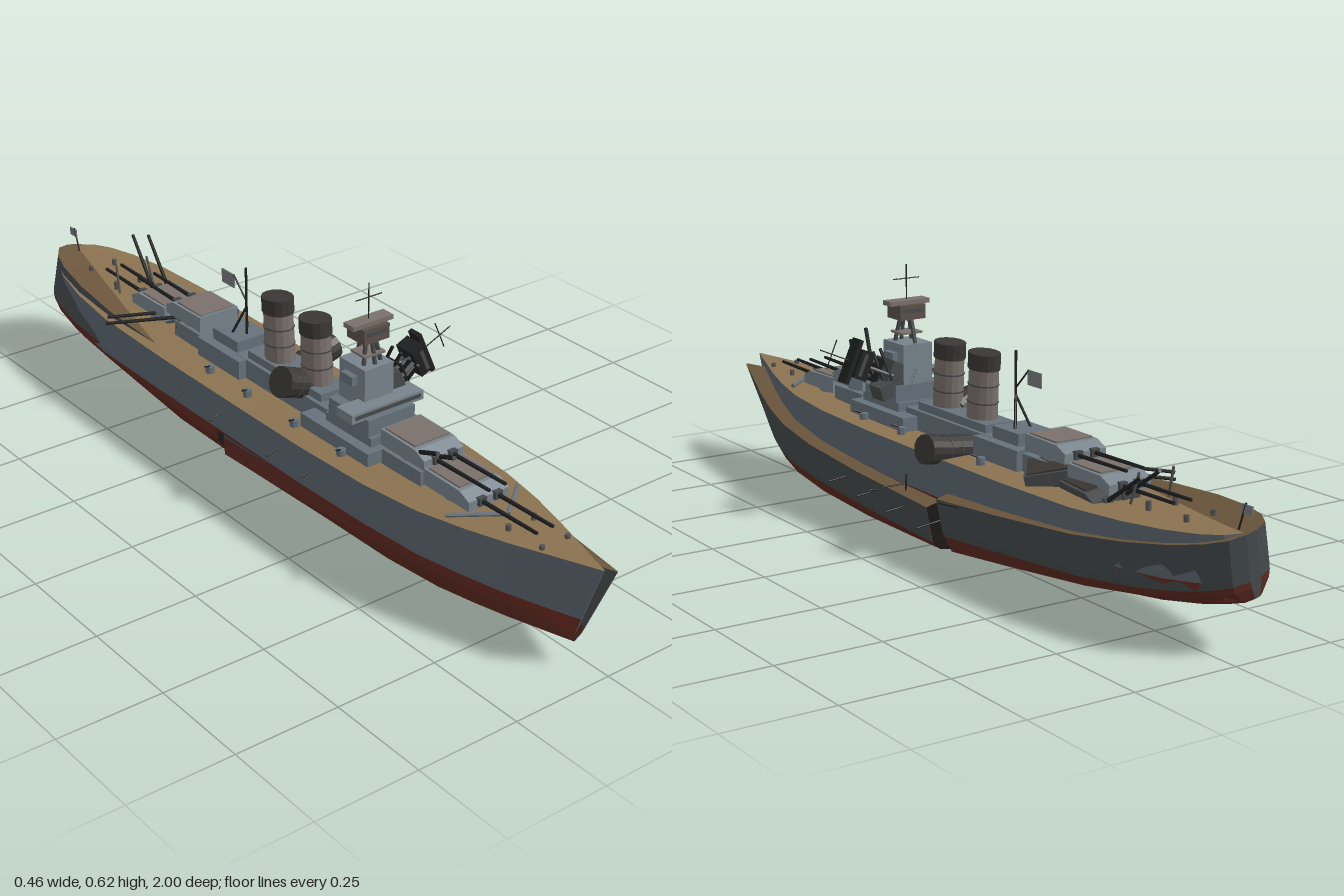
import * as THREE from 'three';

const V = (x, y, z) => new THREE.Vector3(x, y, z);
const paint = (color, side = THREE.FrontSide) => new THREE.MeshStandardMaterial({ color, side, flatShading: true });
const grey = paint(0x66717a), pale = paint(0x77838b), roof = paint(0x7a706c), black = paint(0x1f2021);
const soot = paint(0x3a3735), burnt = paint(0x46494a), brown = paint(0x5a5048), steel = paint(0x555555);
const cloth = paint(0x777a7c, THREE.DoubleSide);
const clean = { side: paint(0x5c666e, 2), deck: paint(0x8a7250, 2), belly: paint(0x6b2b22, 2), cut: paint(0x1c1a19, 2) };
const wrecked = { side: paint(0x444a4c, 2), deck: paint(0x6b563c, 2), belly: paint(0x5f2a21, 2), cut: paint(0x1c1a19, 2) };

function add(parent, name, geometry, mat) {
  const mesh = new THREE.Mesh(geometry, mat);
  mesh.name = name;
  parent.add(mesh);
  return mesh;
}
function group(parent, name, x = 0, y = 0, z = 0) {
  const g = new THREE.Group();
  g.name = name;
  g.position.set(x, y, z);
  parent.add(g);
  return g;
}
function box(parent, name, w, h, d, x, y, z, mat = grey) {
  const m = add(parent, name, new THREE.BoxGeometry(w, h, d), mat);
  m.position.set(x, y, z);
  return m;
}
function rod(parent, name, a, b, r, mat = black, rTop = r, sides = 8) {
  const dir = b.clone().sub(a);
  const m = add(parent, name, new THREE.CylinderGeometry(rTop, r, dir.length(), sides), mat);
  m.position.copy(a).add(b).multiplyScalar(0.5);
  m.quaternion.setFromUnitVectors(V(0, 1, 0), dir.normalize());
  return m;
}

// Surface through a list of equally long cross-sections
function loft(sections) {
  const n = sections[0].length, idx = [];
  for (let i = 0; i < sections.length - 1; i++)
    for (let j = 0; j < n - 1; j++) {
      const a = i * n + j, b = a + n;
      idx.push(a, b, a + 1, a + 1, b, b + 1);
    }
  const g = new THREE.BufferGeometry().setFromPoints(sections.flat());
  g.setIndex(idx);
  const flat = g.toNonIndexed();
  flat.computeVertexNormals();
  return flat;
}

// Hull stations: z, half width, deck height, waterline height, bottom height
const stations = [
  [1, 0.002, 0.272, 0.13, 0.08], [0.9, 0.036, 0.267, 0.133, 0.075], [0.8, 0.07, 0.262, 0.138, 0.069],
  [0.7, 0.1, 0.258, 0.145, 0.063], [0.58, 0.127, 0.253, 0.15, 0.056], [0.42, 0.144, 0.249, 0.155, 0.047],
  [0.2, 0.15, 0.246, 0.155, 0.036], [0, 0.15, 0.245, 0.155, 0.031], [-0.115, 0.15, 0.245, 0.155, 0.032],
  [-0.135, 0.15, 0.245, 0.155, 0.035], [-0.35, 0.15, 0.245, 0.155, 0.055], [-0.6, 0.147, 0.249, 0.155, 0.08],
  [-0.75, 0.132, 0.255, 0.157, 0.096], [-0.86, 0.108, 0.26, 0.16, 0.108], [-0.93, 0.08, 0.264, 0.163, 0.116],
  [-0.97, 0.05, 0.267, 0.165, 0.121], [-0.983, 0.014, 0.268, 0.166, 0.125]];
// The floating ship draws less water than the wreck
const shallow = stations.map(([z, w, deck, line, keel]) => [z, w, deck, line, Math.max(keel, 0.11 - 0.03 * Math.abs(z))]);

function hull(parent, name, used, mats, warp = v => v) {
  const g = group(parent, name);
  const pt = (s, k, y) => {
    const rake = s[0] > 0.6 ? 0.36 * (s[0] - 0.6) / 0.4 : s[0] < -0.8 ? -0.6 * (-0.8 - s[0]) : 0;
    return warp(V(k * s[1], y, s[0] - rake * (s[2] - y)));
  };
  for (const k of [1, -1]) {
    const label = k > 0 ? 'left' : 'right';
    add(g, label + 'Topsides', loft(used.map(s => [pt(s, k, s[2]), pt(s, 1.02 * k, s[3] + 0.015), pt(s, 1.01 * k, s[3])])), mats.side);
    add(g, label + 'Bottom', loft(used.map(s => {
      const mid = s[4] + (s[3] - s[4]) * 0.65;
      return [pt(s, 1.01 * k, s[3]), pt(s, 0.93 * k, mid), pt(s, 0.47 * k, s[4]), pt(s, 0, s[4])];
    })), mats.belly);
  }
  add(g, 'deck', loft(used.map(s => [-1, 0, 1].map(k => pt(s, k, s[2])))), mats.deck);
  // End bulkheads
  for (const s of [used[0], used[used.length - 1]])
    add(g, 'bulkhead', loft([[1, s[2]], [1.01, s[3]], [0.93, s[4] + (s[3] - s[4]) * 0.65], [0.47, s[4]]]
      .map(([k, y]) => [pt(s, -k, y), pt(s, k, y)])), Math.abs(s[0]) > 0.9 ? mats.side : mats.cut);
}

// Twin-gun turret facing +z, with its barbette
function turret(parent, name, y, z, turn, base, mat = pale, up = 0) {
  const g = group(parent, name, 0, y, z);
  g.rotation.y = turn;
  const side = new THREE.Shape([[-0.07, 0], [0.075, 0], [0.075, 0.022], [0.045, 0.036], [-0.07, 0.038]].map(p => new THREE.Vector2(...p)));
  const geo = new THREE.ExtrudeGeometry(side, { depth: 0.11, bevelEnabled: false });
  geo.rotateY(-Math.PI / 2).translate(0.055, 0, 0);
  add(g, 'gunHouse', geo, mat);
  box(g, 'roofPlate', 0.096, 0.004, 0.1, 0, 0.039, -0.014, mat === pale ? roof : soot);
  rod(g, 'barbette', V(0, -base, 0), V(0, 0, 0), 0.048, mat, 0.048, 12);
  for (const x of [-0.022, 0.022]) {
    box(g, 'gunPort', 0.02, 0.018, 0.012, x, 0.017, 0.077, burnt);
    rod(g, 'barrel', V(x, 0.017, 0.075), V(x, 0.02 + up, 0.245), 0.005, black, 0.004);
  }
}

// Fire-control top: origin at the wide plate, legs reach down
function fireControl(parent, mat, plateMat) {
  const g = group(parent, 'fireControlTop');
  box(g, 'rangefinderBar', 0.11, 0.011, 0.035, 0, 0, 0, plateMat);
  box(g, 'lookoutBox', 0.07, 0.035, 0.06, 0, -0.022, 0, mat);
  box(g, 'lookoutWindow', 0.055, 0.009, 0.063, 0, -0.018, 0, burnt);
  box(g, 'tripodPlatform', 0.058, 0.005, 0.05, 0, -0.073, 0, plateMat);
  for (const [x, z] of [[-0.024, 0.015], [0.024, 0.015], [0, -0.04], [0, 0.025]])
    rod(g, 'tripodLeg', V(x, -0.1, z), V(x * 0.5, -0.035, z * 0.5), 0.005, burnt);
  rod(g, 'topmast', V(0, 0, 0), V(0, 0.09, 0), 0.0014);
  rod(g, 'yard', V(-0.036, 0.056, 0), V(0.036, 0.056, 0), 0.0014);
  return g;
}

function funnel(parent, name, a, b, mat, r = 0.034) {
  const g = group(parent, name), top = a.clone().lerp(b, 0.78);
  rod(g, 'casing', a, b, r, mat, r * 0.94, 14);
  rod(g, 'cap', top, b.clone().lerp(a, -0.01), r * 1.04, soot, r * 1.04, 14);
  for (const t of [0.3, 0.55]) rod(g, 'band', a.clone().lerp(b, t), a.clone().lerp(b, t + 0.02), r * 1.02, burnt, r * 1.02, 14);
  return g;
}

function intactShip(root) {
  const s = group(root, 'ship', -0.035);
  hull(s, 'hull', shallow, clean);
  turret(s, 'foreTurret', 0.262, 0.585, 0, 0.02);
  turret(s, 'foreUpperTurret', 0.294, 0.44, 0, 0.05);
  turret(s, 'aftUpperTurret', 0.294, -0.385, Math.PI, 0.05);
  turret(s, 'aftTurret', 0.262, -0.54, Math.PI, 0.02);
  // Deckhouses: w, h, d, y centre, z centre
  [[0.18, 0.035, 0.24, 0.262, 0.25], [0.13, 0.03, 0.16, 0.285, 0.27], [0.1, 0.05, 0.36, 0.268, 0], [0.08, 0.02, 0.28, 0.302, 0],
    [0.14, 0.05, 0.17, 0.267, -0.22], [0.09, 0.03, 0.1, 0.305, -0.225], [0.11, 0.04, 0.13, 0.265, 0.44], [0.11, 0.04, 0.13, 0.265, -0.36]]
    .forEach(([w, h, d, y, z]) => box(s, 'deckhouse', w, h, d, 0, y, z));
  // Bridge and tower
  box(s, 'bridgeBase', 0.13, 0.05, 0.14, 0, 0.315, 0.27, grey);
  box(s, 'bridgeWing', 0.2, 0.022, 0.055, 0, 0.348, 0.3, pale);
  box(s, 'bridgeWindow', 0.182, 0.009, 0.058, 0, 0.349, 0.3, burnt);
  box(s, 'tower', 0.08, 0.1, 0.09, 0, 0.385, 0.25, pale);
  box(s, 'towerSponsons', 0.112, 0.022, 0.04, 0, 0.403, 0.25, grey);
  fireControl(s, brown, roof).position.set(0, 0.53, 0.255);
  // Funnels are narrower across than along
  for (const [name, z] of [['foreFunnel', 0.075], ['aftFunnel', -0.067]])
    funnel(s, name, V(0, 0.3, z), V(0, 0.463, z - 0.01), roof, 0.04).scale.x = 0.85;
  // Aft mast, flags
  rod(s, 'aftMast', V(0, 0.28, -0.2), V(0, 0.49, -0.2), 0.003);
  for (const k of [-1, 1]) rod(s, 'mastLeg', V(k * 0.03, 0.29, -0.24), V(0, 0.39, -0.2), 0.003);
  rod(s, 'gaff', V(0, 0.405, -0.2), V(0, 0.455, -0.25), 0.002);
  box(s, 'mastFlag', 0.003, 0.034, 0.05, 0, 0.438, -0.272, cloth);
  rod(s, 'sternStaff', V(0, 0.265, -0.955), V(0, 0.325, -0.975), 0.002);
  box(s, 'sternFlag', 0.003, 0.02, 0.03, 0, 0.312, -0.98, cloth);
  for (const k of [-1, 1]) {
    rod(s, 'breakwater', V(k * 0.1, 0.262, 0.64), V(0, 0.267, 0.72), 0.005, grey);
    for (const z of [0.29, 0.12, -0.06, -0.21]) {
      rod(s, 'deckGunMount', V(k * 0.1, 0.245, z), V(k * 0.1, 0.262, z), 0.011, grey);
      rod(s, 'deckGun', V(k * 0.1, 0.26, z), V(k * 0.122, 0.27, z + 0.01), 0.002);
    }
    for (const z of [0.86, 0.76, -0.72, -0.84]) rod(s, 'bollard', V(k * 0.035, 0.25, z), V(k * 0.035, 0.274, z), 0.006, steel);
    rod(s, 'sternBoom', V(k * 0.05, 0.26, -0.68), V(k * 0.045, 0.33, -0.7), 0.003, steel);
  }
  // Casemate guns on the free side
  [0.25, 0.12, -0.1, -0.25].forEach((z, i) =>
    rod(s, 'secondaryGun', V(-0.14, 0.213 - i * 0.005, z), V(-0.185, 0.207 - i * 0.006, z + 0.01), 0.002));
}

// Lowest height the crushed bottom may reach: a skewed keel that rises to both ends
function ground(x, z) {
  const across = x > -0.065 ? 0.17 * (x + 0.065) : -0.75 * (x + 0.065);
  const along = z > 0.1 ? 0.08 * (z - 0.1) : z < -0.12 ? 0.118 * (-0.12 - z) : 0;
  return Math.max(across, along) + 0.002 + 0.15 * Math.min(across, along);
}

// One half of the broken ship: listed, slewed, sagging at the break, its bottom crushed
function wreckHalf(root, name, used, x, y, endZ, sag, yaw, roll) {
  const g = group(root, name);
  const m = new THREE.Matrix4().makeTranslation(x, 0.15 + y, endZ)
    .multiply(new THREE.Matrix4().makeRotationFromEuler(new THREE.Euler(sag, yaw, roll)))
    .multiply(new THREE.Matrix4().makeTranslation(0, -0.15, -endZ));
  hull(g, name + 'Hull', used, wrecked, v => {
    v.applyMatrix4(m);
    v.y = Math.max(v.y, ground(v.x, v.z));
    return v;
  });
  const fittings = group(g, name + 'Fittings');
  fittings.applyMatrix4(m);
  return fittings;
}

export function createModel() {
  const root = new THREE.Group();
  root.name = 'battleshipAndWreck';
  intactShip(root);

  const fore = wreckHalf(root, 'wreckFore', stations.slice(0, 9), -0.02, -0.02, 0.98, -0.045, 0, -0.24);
  const aft = wreckHalf(root, 'wreckAft', stations.slice(9), -0.058, 0.006, -0.98, 0.06, 0.05, -0.21);
  aft.parent.position.z = -0.018;
  box(fore, 'wreckDeckhouse', 0.17, 0.06, 0.4, 0, 0.265, 0.15, burnt);
  turret(aft, 'wreckAftTurret', 0.262, -0.53, Math.PI - 0.2, 0.02, burnt, 0.09);
  turret(aft, 'wreckAftUpperTurret', 0.28, -0.4, Math.PI + 0.85, 0.04, burnt, -0.055);
  box(aft, 'wreckAftDeckhouse', 0.13, 0.04, 0.16, 0, 0.262, -0.25, burnt);

  // Raised guns of the displaced forward turret
  for (const [x, y] of [[-0.035, 0.3], [-0.08, 0.325]])
    rod(root, 'raisedBarrel', V(x, y, 0.49), V(x - 0.055, y + 0.068, 0.61), 0.005, black, 0.005);

  // Toppled tower, fire control and funnels
  const tower = group(root, 'toppledTower', 0.127, 0.405, 0.245);
  tower.rotation.z = -1.16;
  fireControl(tower, black, black);
  box(tower, 'brokenTower', 0.07, 0.07, 0.08, 0, -0.125, 0, burnt);
  funnel(root, 'fallenForeFunnel', V(-0.05, 0.3, 0.06), V(-0.135, 0.335, 0.07), soot, 0.035);
  funnel(root, 'fallenAftFunnel', V(0.02, 0.25, -0.09), V(0.148, 0.27, -0.11), soot, 0.033);
  for (let i = 0; i < 4; i++) {
    rod(root, 'tiltedGun', V(0.04 + i * 0.012, 0.355, 0.2 + i * 0.02), V(0.055 + i * 0.008, 0.43 - i * 0.01, 0.23 + i * 0.02), 0.004);
    rod(root, 'wreckSecondaryGun', V(0.12, 0.128 - i * 0.006, 0.25 - i * 0.13), V(0.183, 0.116 - i * 0.006, 0.26 - i * 0.13), 0.002);
  }
  box(root, 'looseHousing', 0.03, 0.035, 0.05, 0.07, 0.335, 0.2, burnt).rotation.z = -0.3;
  // Twisted davits and scraps alongside
  rod(root, 'davit', V(0.1, 0.16, 0.01), V(0.188, 0.16, 0.01), 0.002);
  rod(root, 'scrap', V(0.213, 0.161, -0.005), V(0.234, 0.161, 0.005), 0.002);
  rod(root, 'scrap', V(0.14, 0.165, -0.24), V(0.175, 0.175, -0.21), 0.003);
  rod(root, 'davitPost', V(0.13, 0.13, 0), V(0.128, 0.185, 0), 0.002);
  return root;
}
